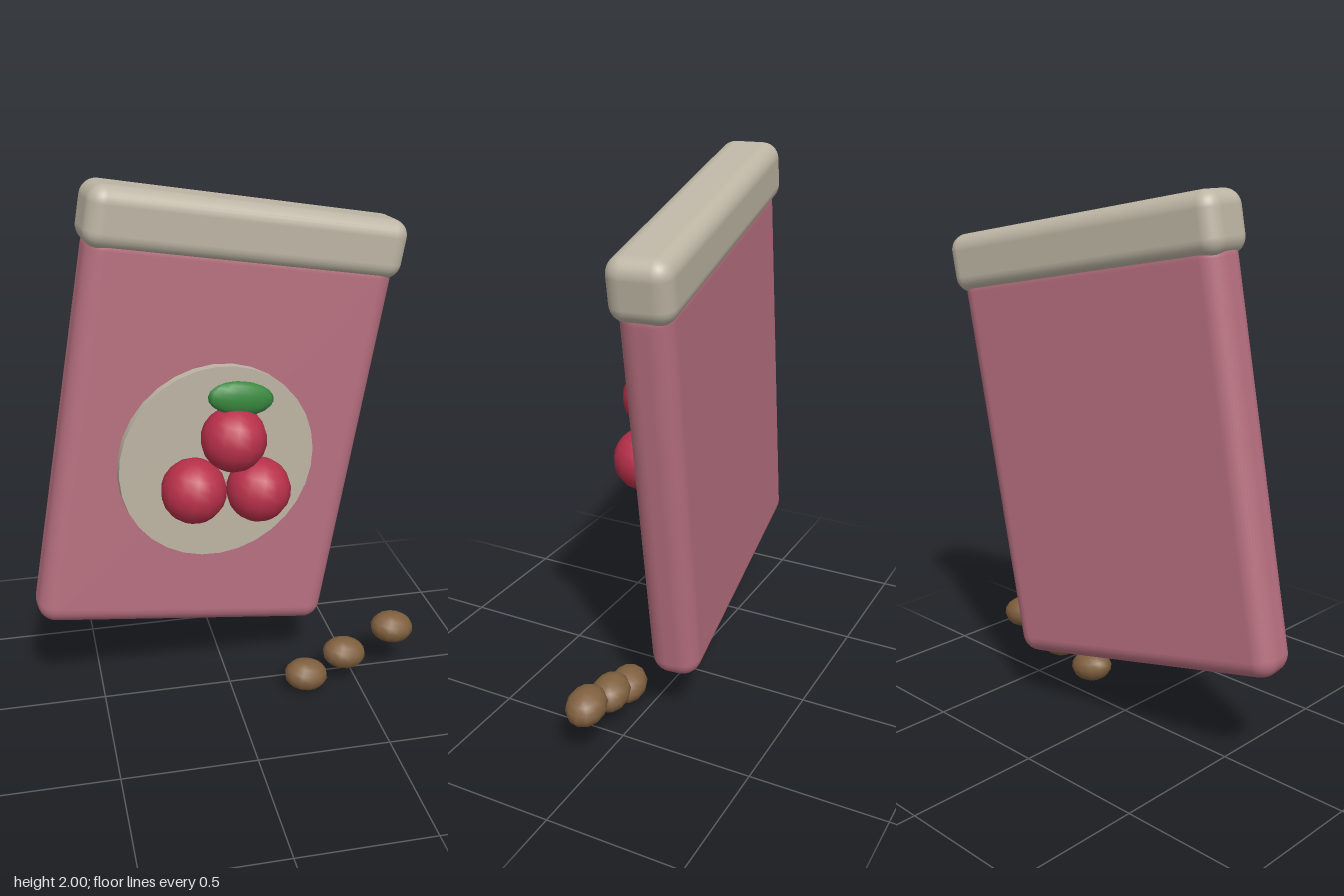
import * as THREE from 'three';
import { RoundedBoxGeometry } from 'three/addons/geometries/RoundedBoxGeometry.js';

const paint = (color) => new THREE.MeshStandardMaterial({ color });

export function createModel() {
  const rose = paint(0xb87080), cream = paint(0xbdb5a4), red = paint(0xb8304a);
  const green = paint(0x3a8a40), brown = paint(0x80603f);

  const model = new THREE.Group();
  const add = (parent, name, geometry, material, x, y, z) => {
    const mesh = new THREE.Mesh(geometry, material);
    mesh.name = name;
    mesh.position.set(x, y, z);
    parent.add(mesh);
    return mesh;
  };

  // Leaning pouch with everything attached to it
  const pouch = new THREE.Group();
  pouch.name = 'pouch';
  pouch.position.set(-0.066, 0.987, -0.082);
  pouch.rotation.set(0, 0.12, -0.178);
  model.add(pouch);

  add(pouch, 'body', new RoundedBoxGeometry(1.145, 1.48, 0.18, 4, 0.07), rose, 0, 0.05, 0);
  add(pouch, 'topBand', new RoundedBoxGeometry(1.18, 0.215, 0.22, 4, 0.06), cream, 0, 0.8275, 0);

  // Round label on the front face
  const label = add(pouch, 'label', new THREE.CylinderGeometry(0.37, 0.37, 0.04, 32), cream, 0, 0, 0.102);
  label.rotation.x = Math.PI / 2;

  // Three berries and a leaf
  const berry = new THREE.SphereGeometry(0.118, 14, 10);
  [[0, 0.136], [-0.115, -0.066], [0.13, -0.053]].forEach(([x, y], i) =>
    add(pouch, 'berry' + (i + 1), berry, red, x, y, 0.225));
  const leaf = new THREE.SphereGeometry(1, 14, 10).scale(0.123, 0.062, 0.034);
  add(pouch, 'leaf', leaf, green, 0, 0.287, 0.225);

  // Loose beans beside the pouch
  const bean = new THREE.SphereGeometry(1, 12, 8).scale(0.088, 0.062, 0.072);
  [[0.287, 0.068, 0.1], [0.447, 0.135, 0.08], [0.65, 0.213, 0.055]].forEach(([x, y, z], i) => {
    add(model, 'bean' + (i + 1), bean, brown, x, y, z).rotation.copy(pouch.rotation);
  });

  return model;
}
